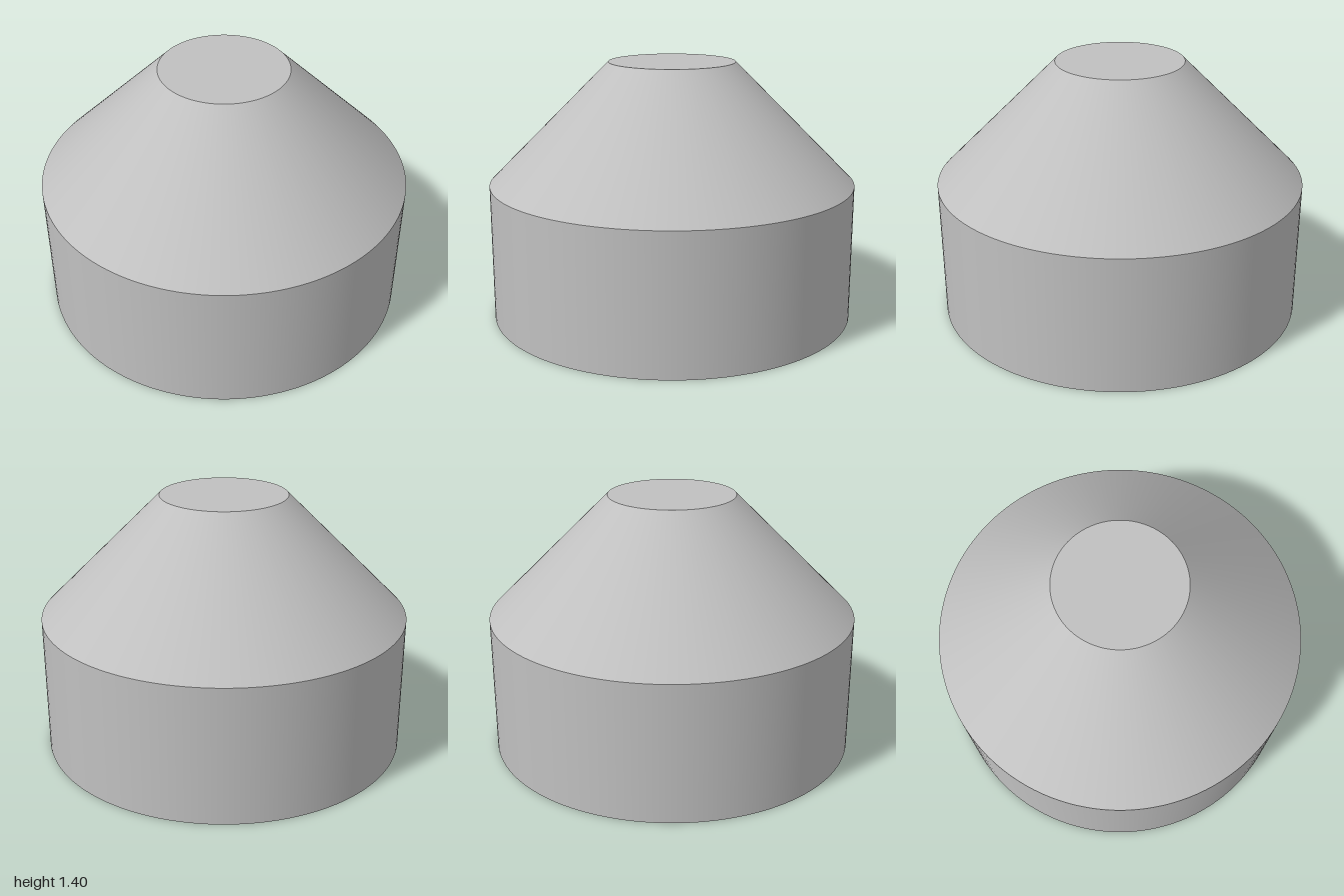
import * as THREE from 'three';
import { mergeGeometries } from 'three/addons/utils/BufferGeometryUtils.js';

const SEGMENTS = 128;

// Revolves each straight run of a profile separately, so its corners stay sharp
function sharpLathe(profile) {
  const runs = [];
  for (let i = 0; i < profile.length - 1; i++) {
    const pair = [profile[i], profile[i + 1]].map(([r, y]) => new THREE.Vector2(r, y));
    runs.push(new THREE.LatheGeometry(pair, SEGMENTS));
  }
  return mergeGeometries(runs);
}

export function createModel() {
  const model = new THREE.Group();
  model.name = 'hollowCap';

  const grey = new THREE.MeshStandardMaterial({ color: 0xc0c0c0 });
  grey.name = 'grey';

  const add = (name, geometry) => {
    const mesh = new THREE.Mesh(geometry, grey);
    mesh.name = name;
    model.add(mesh);
    return mesh;
  };

  // Outer skirt, cone and flat top, with the rim underneath
  add('outerShell', sharpLathe([[0.957, 0], [1, 0], [1, 0.745], [0.345, 1.4], [0, 1.4]]));

  // Inside of the shell, one wall thickness in, open at the bottom
  add('innerShell', sharpLathe([[0, 1.357], [0.327, 1.357], [0.957, 0.727], [0.957, 0]]));

  // Three small catches around the inside of the rim
  for (let i = 0; i < 3; i++) {
    const angle = (i * Math.PI * 2) / 3;
    const radius = 0.955;
    const catchTab = add('catch' + (i + 1), new THREE.BoxGeometry(0.23, 0.045, 0.03));
    catchTab.position.set(Math.sin(angle) * radius, 0.057, Math.cos(angle) * radius);
    catchTab.rotation.y = angle;
  }

  return model;
}
